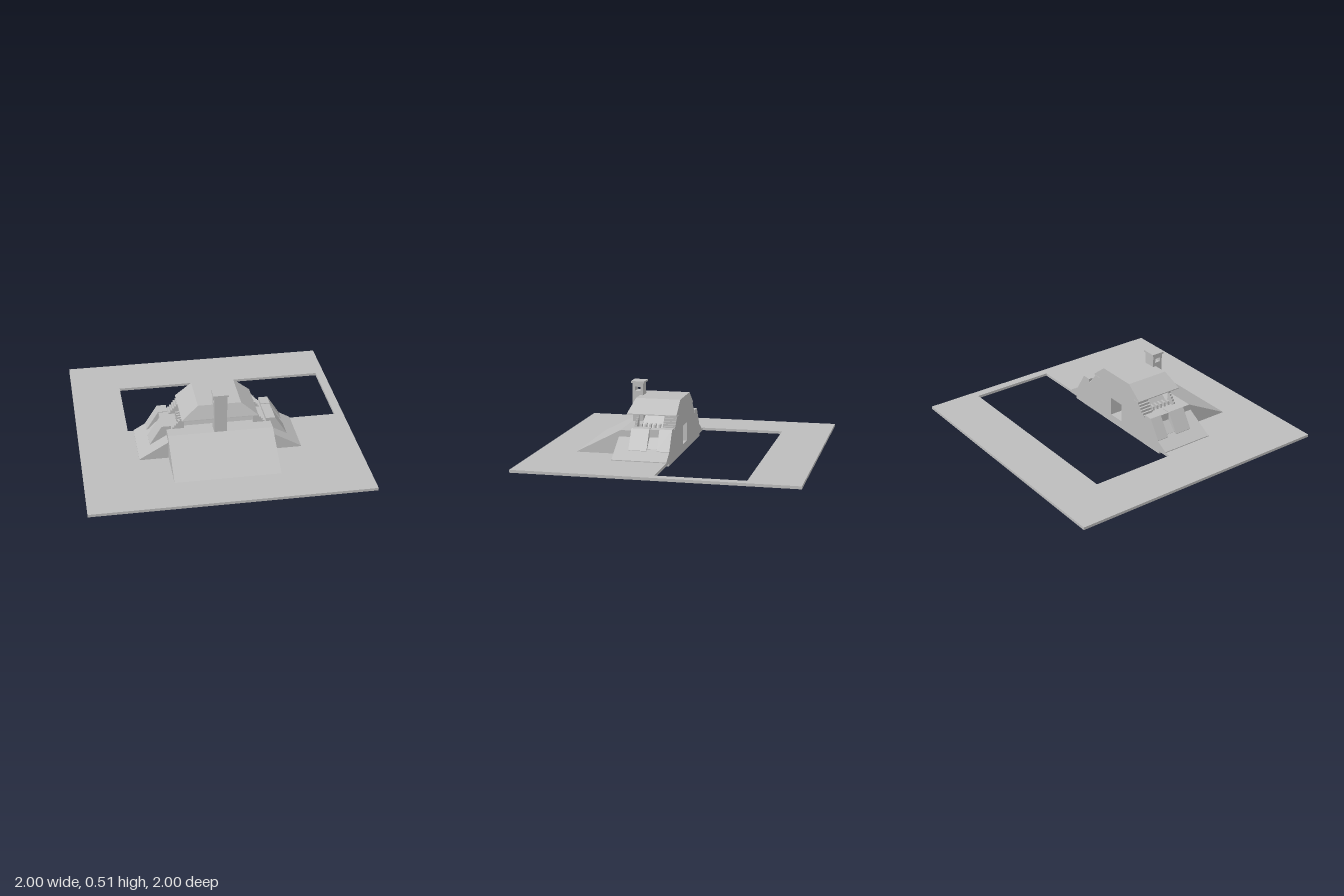
import * as THREE from 'three';

const concrete = new THREE.MeshStandardMaterial({ color: 0xbcbcbc });
concrete.name = 'grey concrete';

const pts = (list) => list.map(([x, y]) => new THREE.Vector2(x, y));
const rect = (x0, y0, x1, y1) => [[x0, y0], [x1, y0], [x1, y1], [x0, y1]];

function extrude(outline, depth, holes = []) {
  const shape = new THREE.Shape(pts(outline));
  holes.forEach((h) => shape.holes.push(new THREE.Path(pts(h))));
  return new THREE.ExtrudeGeometry(shape, { depth, bevelEnabled: false });
}
// outline in x,y running from z0 to z1
const alongZ = (o, z0, z1, holes) => extrude(o, z1 - z0, holes).translate(0, 0, z0);
// outline in z,y running from x0 to x1
const alongX = (o, x0, x1, holes) => extrude(o, x1 - x0, holes).rotateY(-Math.PI / 2).translate(x1, 0, 0);
// outline in x,z running from y0 to y1
const alongY = (o, y0, y1, holes) => extrude(o, y1 - y0, holes).rotateX(Math.PI / 2).translate(0, y1, 0);

// block with an upright back at z = 0 and leaning sides and front
function taperedBlock(y0, y1, halfX0, halfX1, front0, front1) {
  const g = new THREE.BoxGeometry(2, 1, 1);
  const p = g.attributes.position;
  for (let i = 0; i < p.count; i++) {
    const top = p.getY(i) > 0;
    p.setXYZ(i, p.getX(i) * (top ? halfX1 : halfX0), top ? y1 : y0,
      p.getZ(i) > 0 ? (top ? front1 : front0) : 0);
  }
  g.computeVertexNormals();
  return g;
}

export function createModel() {
  const model = new THREE.Group();
  model.name = 'bunker';
  const add = (name, geometry) => {
    const mesh = new THREE.Mesh(geometry, concrete);
    mesh.name = name;
    model.add(mesh);
  };

  // ground plate with its rectangular opening, and the footing below
  add('groundPlate', alongY(rect(-1, -1, 1, 1), 0.02, 0.04, [rect(-0.63, -0.63, 0.935, 0)]));
  add('footing', alongY(rect(-0.515, 0, 0.515, 0.305), 0, 0.021, [
    rect(-0.27, 0.16, 0.27, 0.24), rect(-0.5, 0.14, -0.41, 0.24), rect(0.41, 0.14, 0.5, 0.24),
  ]));

  // lower storey: back wall with a window niche, then terrace and front ramp
  add('backWall', alongZ(rect(-0.378, 0.02, 0.378, 0.215), 0, 0.12, [rect(-0.065, 0.06, 0.065, 0.2)]));
  add('frontRamp', alongX([[0.12, 0.021], [0.4, 0.021], [0.4, 0.04], [0.72, 0.04], [0.385, 0.215], [0.12, 0.215]], -0.378, 0.378));

  // upper storey and roof
  add('upperStorey', taperedBlock(0.21, 0.312, 0.28, 0.205, 0.265, 0.24));
  add('roofEdge', taperedBlock(0.31, 0.316, 0.275, 0.275, 0.368, 0.367));
  add('roof', taperedBlock(0.316, 0.41, 0.275, 0.155, 0.367, 0.33));

  // chimney with a vent running through it
  add('chimney', alongX(rect(0.305, 0.21, 0.385, 0.503), -0.046, 0.046, [rect(0.324, 0.44, 0.368, 0.472)]));
  add('chimneyCap', new THREE.BoxGeometry(0.11, 0.014, 0.1).translate(0, 0.507, 0.345));

  // stepped profile climbing towards the roof
  const steps = [[0.2, 0.21], [0.335, 0.21]];
  for (let i = 0; i < 6; i++) {
    const x = 0.335 - i * 0.014, y = 0.225 + i * 0.0165;
    steps.push([x, y], [x - 0.014, y]);
  }
  steps.push([0.2, 0.3075]);

  for (const [side, s] of [['left', 1], ['right', -1]]) {
    const flip = (o) => o.map(([x, y]) => [x * s, y]);
    // sloping earth bank
    add(side + 'Bank', alongZ(flip([[0.34, 0.025], [0.587, 0.025], [0.587, 0.046], [0.378, 0.168], [0.34, 0.168]]), 0, 0.398));
    // two buttresses with a recessed bay between them
    const buttress = flip([[0.345, 0.03], [0.5, 0.03], [0.5, 0.1], [0.412, 0.24], [0.345, 0.24]]);
    add(side + 'BackButtress', alongZ(buttress, 0, 0.092));
    add(side + 'FrontButtress', alongZ(buttress, 0.165, 0.297));
    add(side + 'Bay', alongZ(flip([[0.345, 0.03], [0.48, 0.03], [0.48, 0.11], [0.41, 0.18], [0.41, 0.235], [0.345, 0.235]]), 0.092, 0.165));
    // stairs, stepped end frame and low ribs between
    add(side + 'Stairs', alongZ(flip(steps), 0, 0.09));
    add(side + 'SteppedFrame', alongZ(flip(steps.map(([x, y]) => [Math.max(x, 0.25), y])), 0.28, 0.297));
    for (let i = 0; i < 5; i++) {
      const z = 0.115 + i * 0.034;
      add(side + 'Rib', alongZ(flip([[0.26, 0.21], [0.295, 0.21], [0.29, 0.245], [0.25, 0.25]]), z, z + 0.015));
    }
  }
  return model;
}
